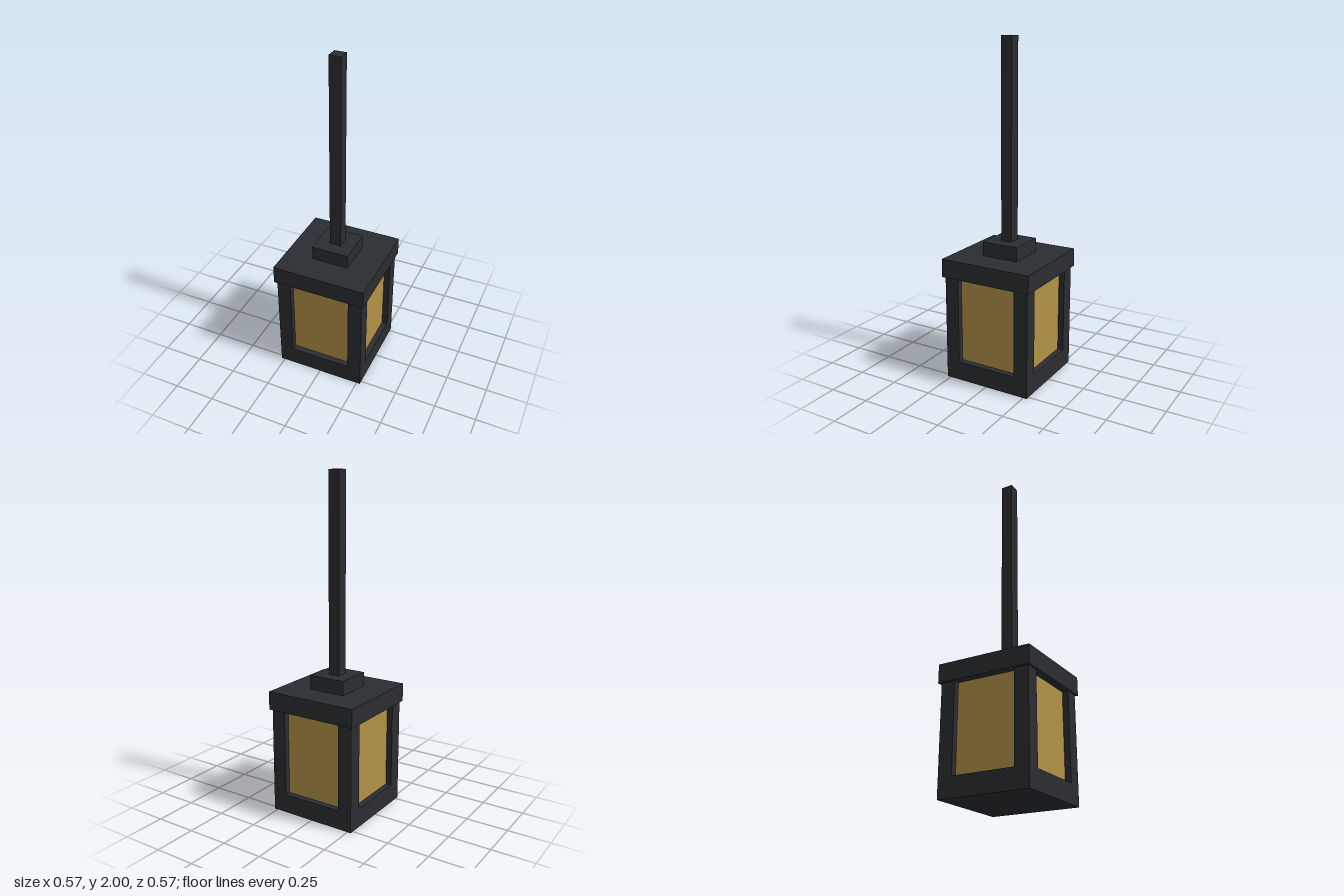
import * as THREE from 'three';

export function createModel() {
  const lantern = new THREE.Group();
  lantern.name = 'hangingLantern';

  const iron = new THREE.MeshStandardMaterial({ color: 0x2a2d31, flatShading: true });
  const amber = new THREE.MeshStandardMaterial({ color: 0xb39247, flatShading: true });

  // Square block of a given width, spanning y0 to y1
  function block(name, width, y0, y1, material, x = 0, z = 0) {
    const mesh = new THREE.Mesh(new THREE.BoxGeometry(width, y1 - y0, width), material);
    mesh.name = name;
    mesh.position.set(x, (y0 + y1) / 2, z);
    lantern.add(mesh);
  }

  const bodyWidth = 0.544;
  const postWidth = 0.086;
  const baseTop = 0.115;
  const capBottom = 0.635;
  const capTop = 0.745;
  const collarTop = 0.83;

  // Base and the glowing glass core, set back behind the posts
  block('base', bodyWidth, 0, baseTop, iron);
  block('glass', 0.472, baseTop, capBottom, amber);

  // Four corner posts
  const offset = (bodyWidth - postWidth) / 2;
  for (const sx of [-1, 1]) {
    for (const sz of [-1, 1]) {
      block('cornerPost', postWidth, baseTop, capBottom, iron, sx * offset, sz * offset);
    }
  }

  // Overhanging cap, collar and hanging rod
  block('cap', 0.572, capBottom, capTop, iron);
  block('collar', 0.228, capTop, collarTop, iron);
  block('hangingRod', 0.07, collarTop, 2, iron);

  return lantern;
}
